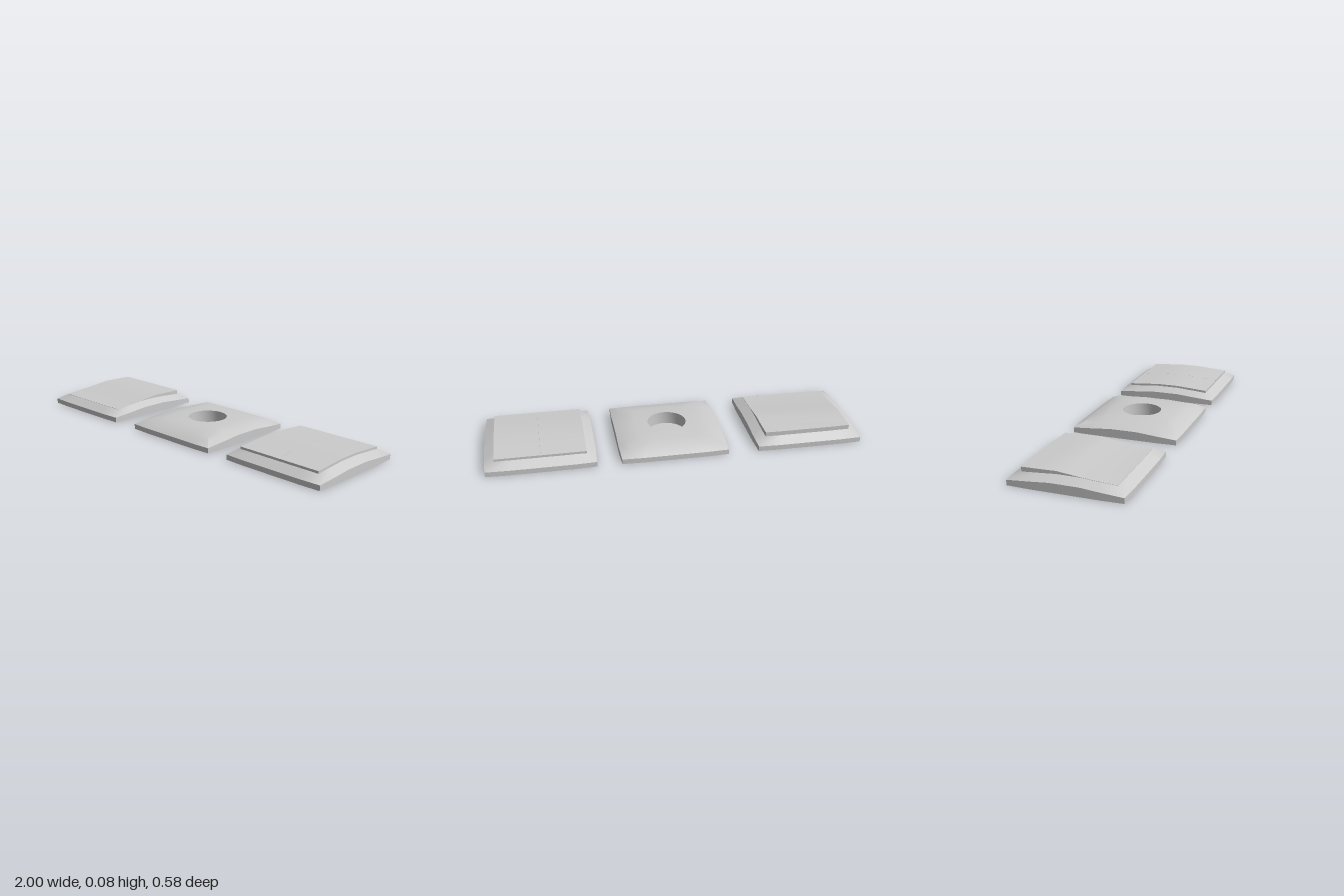
import * as THREE from 'three';
import { toCreasedNormals } from 'three/addons/utils/BufferGeometryUtils.js';

const STOPS = [-1, -0.6, -0.25, 0, 0.25, 0.6];

// Height along z from [front, frontMid, backMid, back], kinked at a quarter of the depth
function heightAt(h, t) {
  const c = Math.max(-1, Math.min(1, t));
  if (c > 0.25) return h[1] + (h[0] - h[1]) * (c - 0.25) / 0.75;
  if (c < -0.25) return h[2] + (h[3] - h[2]) * (-c - 0.25) / 0.75;
  return h[2] + (h[1] - h[2]) * (c + 0.25) / 0.5;
}

// Square loop of 24 points, anticlockwise from above; corners pulled in slightly
function loop(hx, hz, heights, corner = 1, xOff = 0) {
  const pts = [];
  for (let side = 0; side < 4; side++) {
    for (const t of STOPS) {
      const [u, v] = [[1, -t], [-t, -1], [-1, t], [t, 1]][side];
      const k = t === -1 ? corner : 1;
      pts.push(new THREE.Vector3(xOff + u * hx * k, heightAt(heights, v), v * hz * k));
    }
  }
  return pts;
}

const level = (pts, y) => pts.map((p) => new THREE.Vector3(p.x, y, p.z));

// Skin between successive loops
function skin(loops) {
  const tris = [];
  for (let j = 0; j + 1 < loops.length; j++) {
    const a = loops[j], b = loops[j + 1], n = a.length;
    for (let i = 0; i < n; i++) {
      const k = (i + 1) % n;
      tris.push(a[i], a[k], b[k], a[i], b[k], b[i]);
    }
  }
  return tris;
}

// Close a loop with strips running across it
function cap(l) {
  const tris = [];
  for (let i = 0; i < 6; i++) {
    let poly = [i, i + 1, 17 - i, 18 - i];
    if (i === 0) poly = [0, 1, 17, 18, 19, 20, 21, 22, 23];
    if (i === 5) poly = [5, 6, 7, 8, 9, 10, 11, 12, 13];
    for (let k = 1; k + 1 < poly.length; k++) tris.push(l[poly[0]], l[poly[k]], l[poly[k + 1]]);
  }
  return tris;
}

export function createModel() {
  const root = new THREE.Group();
  const material = new THREE.MeshStandardMaterial({ color: 0xcccccc, side: THREE.DoubleSide });

  const addMesh = (parent, name, tris) => {
    const geo = toCreasedNormals(new THREE.BufferGeometry().setFromPoints(tris), 0.6);
    const mesh = new THREE.Mesh(geo, material);
    mesh.name = name;
    parent.add(mesh);
  };
  const addUnit = (name, x) => {
    const unit = new THREE.Group();
    unit.name = name;
    unit.position.x = x;
    root.add(unit);
    return unit;
  };

  // Arched cover plate: outer wall and bevel up to the inner edge
  const outer = loop(0.2875, 0.29, [0.027, 0.046, 0.046, 0.027], 0.985);
  const inner = loop(0.237, 0.237, [0.056, 0.07, 0.07, 0.056], 0.99);
  const frame = [level(outer, 0), outer, inner];

  // Rocker: open shell with a skirt hanging through the frame
  const addRocker = (unit, name, hx, xOff, heights, corner) => {
    const top = loop(hx, 0.236, heights, corner, xOff);
    addMesh(unit, name, [...skin([level(top, 0.03), top]), ...cap(top)]);
  };

  // Single switch, pressed at the front and raised at the back
  const single = addUnit('singleSwitch', -0.7125);
  addMesh(single, 'frame', skin(frame));
  addRocker(single, 'rocker', 0.236, 0, [0.0565, 0.071, 0.084, 0.079], 0.99);

  // Double switch with two rockers side by side
  const double = addUnit('doubleSwitch', 0.7125);
  addMesh(double, 'frame', skin(frame));
  for (const s of [-1, 1]) {
    addRocker(double, s < 0 ? 'rightRocker' : 'leftRocker', 0.1178, s * 0.1182,
      [0.068, 0.081, 0.081, 0.068], 1);
  }

  // Socket plate: gently domed, with a round well in the middle
  const socket = addUnit('socket', 0.0175);
  const dome = inner.map((p) => new THREE.Vector3(p.x, p.y - 0.008 * Math.abs(p.x / 0.237) ** 4
    * (1 - Math.abs(p.z / 0.24)), p.z));
  const circle = (r, y) => inner.map((p, i) => {
    const a = (i / 24) * Math.PI * 2 - Math.PI / 4;
    return new THREE.Vector3(r * Math.cos(a), y, -r * Math.sin(a));
  });
  const rim = circle(0.105, 0.072);
  const middle = dome.map((p, i) => {
    const m = p.clone().lerp(rim[i], 0.5);
    m.y = 0.071 - 0.007 * Math.max(0, Math.abs(m.z) / 0.17 - 0.4);
    return m;
  });
  addMesh(socket, 'plate', skin([frame[0], outer, dome, middle, rim]));
  const floor = circle(0.105, 0.003);
  addMesh(socket, 'well', [...skin([floor, rim]), ...cap(floor)]);

  return root;
}
